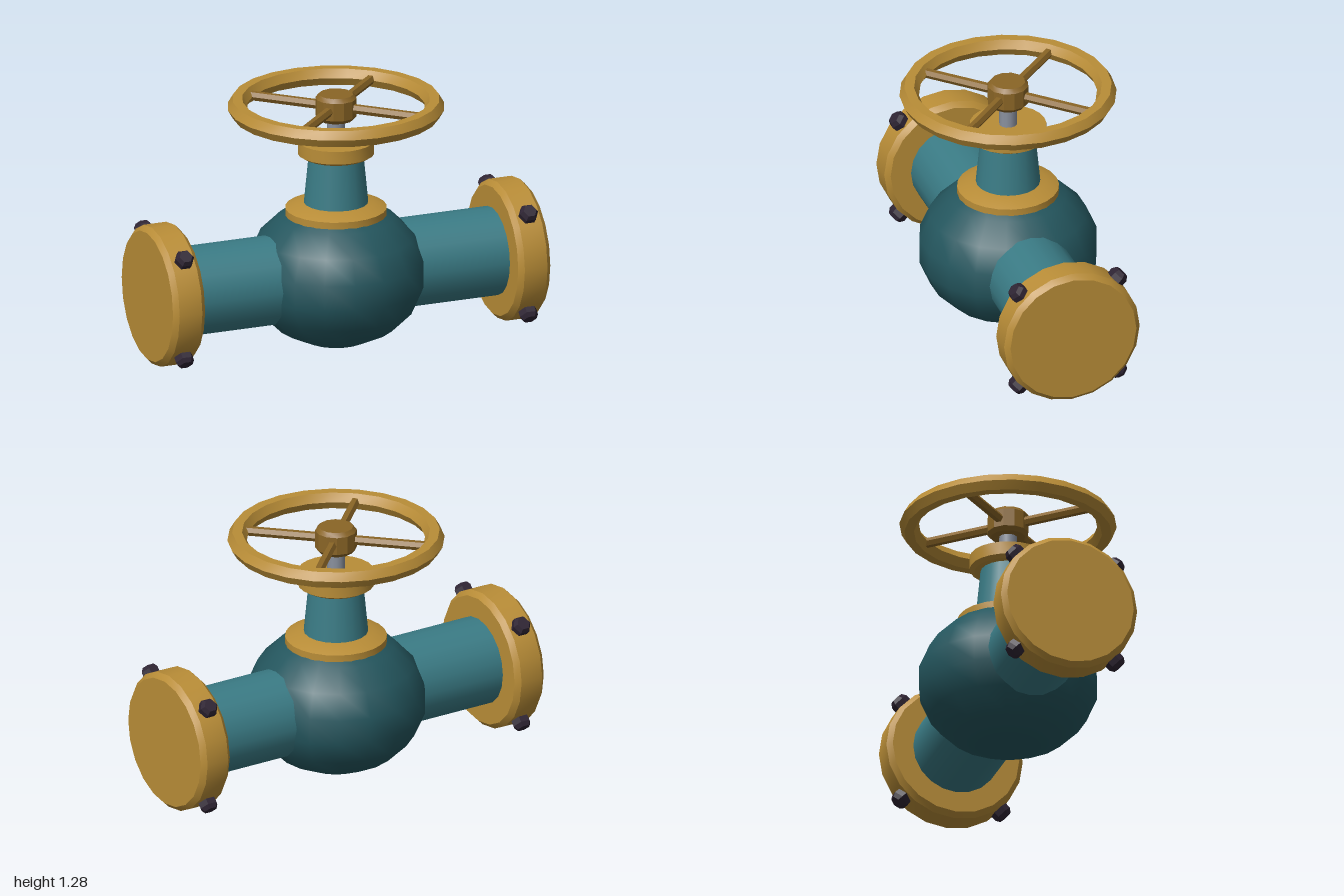
import * as THREE from 'three';
import { toCreasedNormals } from 'three/addons/utils/BufferGeometryUtils.js';

const AXIS_Y = 0.37; // height of the pipe axis

function material(name, color) {
  const m = new THREE.MeshStandardMaterial({ color });
  m.name = name;
  return m;
}

// Closed turned part around y; profile is [radius, height] from bottom to top
function turned(profile, sides) {
  const points = profile.map(([r, y]) => new THREE.Vector2(r, y));
  return toCreasedNormals(new THREE.LatheGeometry(points, sides), 0.5);
}

function add(parent, name, geometry, mat) {
  const mesh = new THREE.Mesh(geometry, mat);
  mesh.name = name;
  parent.add(mesh);
  return mesh;
}

export function createModel() {
  const gold = material('gold', 0xb98d37);
  const darkGold = material('dark gold', 0x8a6526);
  const teal = material('teal', 0x3a7b85);
  const darkTeal = material('dark teal', 0x24565e);
  const steel = material('steel', 0x8a919e);
  const boltDark = material('bolt dark', 0x2e2433);

  const model = new THREE.Group();
  model.name = 'gateValve';

  // Flattened round body
  const bodyGeometry = new THREE.SphereGeometry(1, 18, 9);
  bodyGeometry.scale(0.445, 0.368, 0.445);
  add(model, 'body', bodyGeometry, darkTeal).position.y = AXIS_Y;

  // Pipe ends with flanges and radial bolts
  const pipeGeometry = new THREE.CylinderGeometry(0.22, 0.22, 0.62, 20);
  const flangeGeometry = turned(
    [[0, 0.83], [0.325, 0.83], [0.35, 0.855], [0.35, 0.975], [0.325, 1], [0, 1]], 20);
  const boltGeometry = turned(
    [[0, 0.31], [0.048, 0.31], [0.048, 0.375], [0.034, 0.396], [0, 0.396]], 6);
  boltGeometry.rotateY(Math.PI / 2);
  for (const side of [1, -1]) {
    const end = new THREE.Group();
    end.name = side > 0 ? 'leftPipeEnd' : 'rightPipeEnd';
    end.position.y = AXIS_Y;
    model.add(end);

    const axial = new THREE.Group();
    axial.name = 'pipeAndFlange';
    axial.rotation.z = -side * Math.PI / 2;
    end.add(axial);
    add(axial, 'pipe', pipeGeometry, teal).position.y = 0.54;
    add(axial, 'flange', flangeGeometry, gold);

    for (let i = 0; i < 4; i++) {
      const bolt = add(end, 'flangeBolt', boltGeometry, boltDark);
      bolt.position.x = side * 0.912;
      bolt.rotation.x = Math.PI / 4 + i * Math.PI / 2;
    }
  }

  // Bonnet: collar, tapered neck, gland flange
  add(model, 'bonnetCollar', turned(
    [[0, 0.665], [0.25, 0.665], [0.25, 0.703], [0.185, 0.73], [0, 0.73]], 24), gold);
  const neck = add(model, 'neck', new THREE.CylinderGeometry(0.134, 0.16, 0.27, 20), teal);
  neck.position.y = 0.845;
  add(model, 'glandFlange', turned(
    [[0, 0.968], [0.165, 0.968], [0.188, 0.982], [0.188, 1.047], [0, 1.047]], 24), gold);

  // Stem
  const stem = add(model, 'stem', new THREE.CylinderGeometry(0.044, 0.044, 0.18, 12), steel);
  stem.position.y = 1.1;

  // Handwheel
  const wheel = new THREE.Group();
  wheel.name = 'handwheel';
  wheel.position.y = 1.22;
  model.add(wheel);

  const rimGeometry = toCreasedNormals(new THREE.TorusGeometry(0.484, 0.048, 6, 24), 0.5);
  rimGeometry.rotateX(Math.PI / 2);
  add(wheel, 'rim', rimGeometry, gold);

  add(wheel, 'hub', turned(
    [[0, -0.065], [0.085, -0.065], [0.102, -0.045], [0.102, 0.045], [0.085, 0.065], [0, 0.065]], 12), darkGold);

  const spokeGeometry = toCreasedNormals(new THREE.CylinderGeometry(0.024, 0.024, 0.4, 6), 0.5);
  spokeGeometry.rotateZ(Math.PI / 2);
  spokeGeometry.translate(0.26, 0, 0);
  for (let i = 0; i < 4; i++) {
    add(wheel, 'spoke', spokeGeometry, darkGold).rotation.y = Math.PI / 4 + i * Math.PI / 2;
  }

  return model;
}
